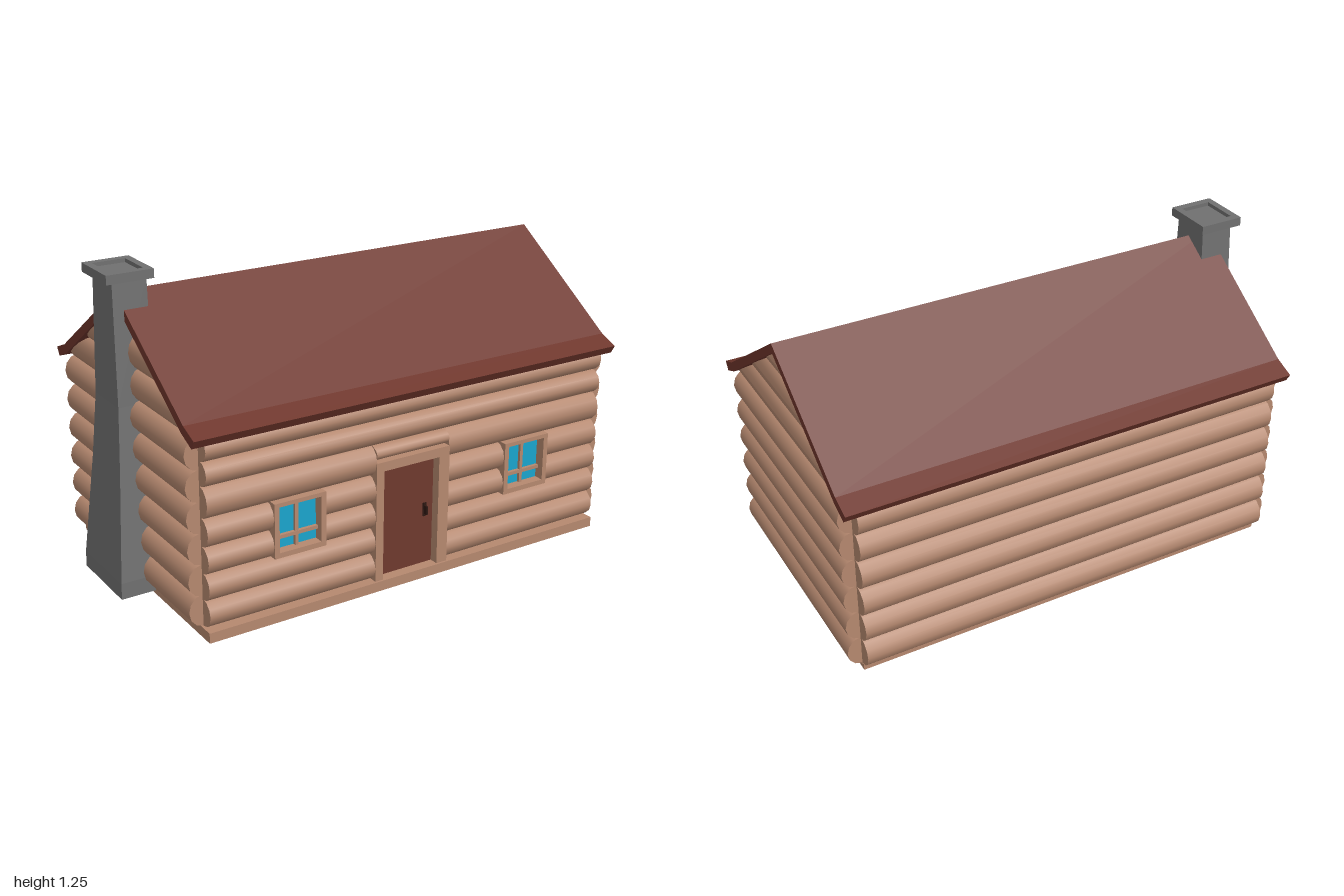
import * as THREE from 'three';

const mat = (color, extra = {}) => new THREE.MeshStandardMaterial({ color, ...extra });

export function createModel() {
  const cabin = new THREE.Group();
  cabin.name = 'logCabin';
  const wood = mat(0xb5886f);
  const roofRed = mat(0x6e352b);
  const doorRed = mat(0x6e392e);
  const glassBlue = mat(0x1aa5cc);
  const stone = mat(0x707070, { flatShading: true });
  const dark = mat(0x2e1812);

  // Wall planes
  const L = -0.85, R = 0.935, F = 0.52, B = -0.51;

  let seed = 7;
  const jitter = (a) => {
    seed = (seed * 16807) % 2147483647;
    return (seed / 2147483647 - 0.5) * 2 * a;
  };

  function add(name, geometry, material, parent = cabin) {
    const mesh = new THREE.Mesh(geometry, material);
    mesh.name = name;
    parent.add(mesh);
    return mesh;
  }
  function box(name, x0, x1, y0, y1, z0, z1, material, parent) {
    const g = new THREE.BoxGeometry(x1 - x0, y1 - y0, z1 - z0);
    g.translate((x0 + x1) / 2, (y0 + y1) / 2, (z0 + z1) / 2);
    return add(name, g, material, parent);
  }
  // Profile given as [z, y] points, extruded from x0 to x1
  function alongX(points, x0, x1) {
    const shape = new THREE.Shape(points.map(([z, y]) => new THREE.Vector2(z, y)));
    return new THREE.ExtrudeGeometry(shape, { depth: x1 - x0, bevelEnabled: false })
      .rotateY(-Math.PI / 2).translate(x1, 0, 0);
  }
  // Elliptical log lying along x, centred on the origin
  function logGeometry(length, height, depth) {
    return new THREE.CylinderGeometry(1, 1, 1, 12)
      .scale(height / 2 + 0.002, length, depth).rotateZ(Math.PI / 2);
  }
  function logX(name, x0, x1, y0, y1, z, depth, parent) {
    const log = add(name, logGeometry(x1 - x0, y1 - y0, depth), wood, parent);
    log.position.set((x0 + x1) / 2, (y0 + y1) / 2, z);
    log.rotation.z = jitter(0.003);
  }

  // Floor slab and solid core behind the logs
  box('floorSlab', -0.86, 0.93, 0, 0.04, B, 0.585, wood);
  add('wallCore', alongX([[B, 0.03], [F, 0.03], [F, 0.765], [0, 1.12], [B, 0.765]], L, R), wood);

  // Front wall logs, cut around the door and windows
  const front = new THREE.Group();
  front.name = 'frontLogs';
  cabin.add(front);
  const rows = [0.04, 0.145, 0.25, 0.355, 0.465, 0.585, 0.68, 0.775];
  const spans = {
    full: [[L, R]],
    door: [[L, -0.145], [0.185, R]],
    windows: [[L, -0.585], [-0.37, -0.145], [0.185, 0.46], [0.67, R]],
  };
  const cuts = ['door', 'door', 'windows', 'windows', 'door', 'full', 'full'];
  cuts.forEach((cut, i) => {
    for (const [x0, x1] of spans[cut]) logX('frontLog', x0, x1, rows[i], rows[i + 1], F, 0.056, front);
  });

  // Back and side wall logs
  const back = new THREE.Group();
  back.name = 'backLogs';
  const sides = new THREE.Group();
  sides.name = 'sideLogs';
  cabin.add(back, sides);
  for (let i = 0; i < 6; i++) {
    const y0 = 0.04 + i * 0.121, y1 = y0 + 0.121;
    logX('backLog', L, R, y0, y1, B, 0.06, back);
    for (const x of [L, R]) {
      const g = logGeometry(F - B, y1 - y0, 0.055).rotateY(Math.PI / 2);
      const log = add('sideLog', g, wood, sides);
      log.position.set(x, (y0 + y1) / 2, (F + B) / 2);
      log.rotation.x = jitter(0.004);
    }
  }

  // Gable logs, ends trimmed to the roof slope
  const gables = new THREE.Group();
  gables.name = 'gableLogs';
  cabin.add(gables);
  const levels = [0.765, 0.885, 1.01, 1.12];
  for (const x of [L, R]) {
    for (let i = 0; i < 3; i++) {
      const g = logGeometry(2, levels[i + 1] - levels[i], 0.045).rotateY(Math.PI / 2);
      g.translate(x, (levels[i] + levels[i + 1]) / 2, 0);
      const p = g.attributes.position;
      for (let k = 0; k < p.count; k++) {
        const half = Math.max(0.005, Math.min(0.5, (1.12 - p.getY(k)) / 0.68));
        p.setZ(k, p.getZ(k) * half);
      }
      g.computeVertexNormals();
      add('gableLog', g, wood, gables);
    }
  }

  // Roof with kicked-out eaves
  add('roof', alongX([
    [0, 1.16], [-0.515, 0.815], [-0.595, 0.783], [-0.575, 0.75], [-0.5, 0.782],
    [0, 1.12], [0.5, 0.782], [0.572, 0.75], [0.592, 0.783], [0.515, 0.815],
  ], -0.9, 0.99), roofRed);

  // Door with frame, lintel log and handle
  const door = new THREE.Group();
  door.name = 'door';
  cabin.add(door);
  box('doorPanel', -0.115, 0.14, 0.04, 0.49, 0.5, 0.54, doorRed, door);
  box('doorJambRight', -0.147, -0.113, 0.04, 0.525, 0.5, 0.577, wood, door);
  box('doorJambLeft', 0.139, 0.187, 0.04, 0.525, 0.5, 0.577, wood, door);
  box('doorHead', -0.113, 0.139, 0.488, 0.525, 0.5, 0.577, wood, door);
  logX('lintelLog', -0.145, 0.185, 0.525, 0.585, F, 0.057, door);
  box('handlePlate', 0.093, 0.108, 0.24, 0.295, 0.54, 0.545, dark, door);
  box('handleGrip', 0.097, 0.104, 0.25, 0.285, 0.545, 0.56, dark, door);

  // Windows
  for (const cx of [-0.4775, 0.565]) {
    const win = new THREE.Group();
    win.name = 'window';
    win.position.set(cx, 0.363, 0);
    cabin.add(win);
    const frame = new THREE.Shape([[-0.108, -0.108], [0.108, -0.108], [0.108, 0.108], [-0.108, 0.108]]
      .map(([x, y]) => new THREE.Vector2(x, y)));
    frame.holes.push(new THREE.Path([[-0.088, -0.088], [-0.088, 0.092], [0.088, 0.092], [0.088, -0.088]]
      .map(([x, y]) => new THREE.Vector2(x, y))));
    add('windowFrame', new THREE.ExtrudeGeometry(frame, { depth: 0.08, bevelEnabled: false })
      .translate(0, 0, 0.5), wood, win);
    box('glass', -0.09, 0.09, -0.09, 0.094, 0.5, 0.54, glassBlue, win);
    box('mullion', -0.007, 0.007, -0.09, 0.094, 0.54, 0.552, wood, win);
    box('transom', -0.09, 0.09, -0.046, -0.032, 0.54, 0.554, wood, win);
  }

  // Tapering chimney stack: each level is [y, x0, x1, z0, z1]
  const stack = [
    [0.015, -1, -0.82, -0.18, 0.15],
    [0.08, -0.998, -0.82, -0.18, 0.15],
    [0.5, -0.963, -0.81, -0.135, 0.11],
    [0.75, -0.947, -0.805, -0.112, 0.09],
    [1.22, -0.94, -0.805, -0.093, 0.072],
  ];
  const pos = [], index = [];
  stack.forEach(([y, x0, x1, z0, z1], i) => {
    pos.push(x0, y, z1, x1, y, z1, x1, y, z0, x0, y, z0);
    if (!i) return;
    for (let k = 0; k < 4; k++) {
      const a = (i - 1) * 4 + k, b = (i - 1) * 4 + (k + 1) % 4;
      index.push(a, b, b + 4, a, b + 4, a + 4);
    }
  });
  index.push(0, 2, 1, 0, 3, 2);
  const stackGeometry = new THREE.BufferGeometry();
  stackGeometry.setAttribute('position', new THREE.Float32BufferAttribute(pos, 3));
  stackGeometry.setIndex(index);
  stackGeometry.computeVertexNormals();
  add('chimneyStack', stackGeometry, stone);

  // Chimney cap with a shallow recess
  box('chimneyCapBase', -0.97, -0.785, 1.215, 1.235, -0.118, 0.095, stone);
  box('chimneyCapFront', -0.97, -0.785, 1.235, 1.25, 0.065, 0.095, stone);
  box('chimneyCapBack', -0.97, -0.785, 1.235, 1.25, -0.118, -0.088, stone);
  box('chimneyCapRight', -0.97, -0.942, 1.235, 1.25, -0.088, 0.065, stone);
  box('chimneyCapLeft', -0.813, -0.785, 1.235, 1.25, -0.088, 0.065, stone);

  return cabin;
}
